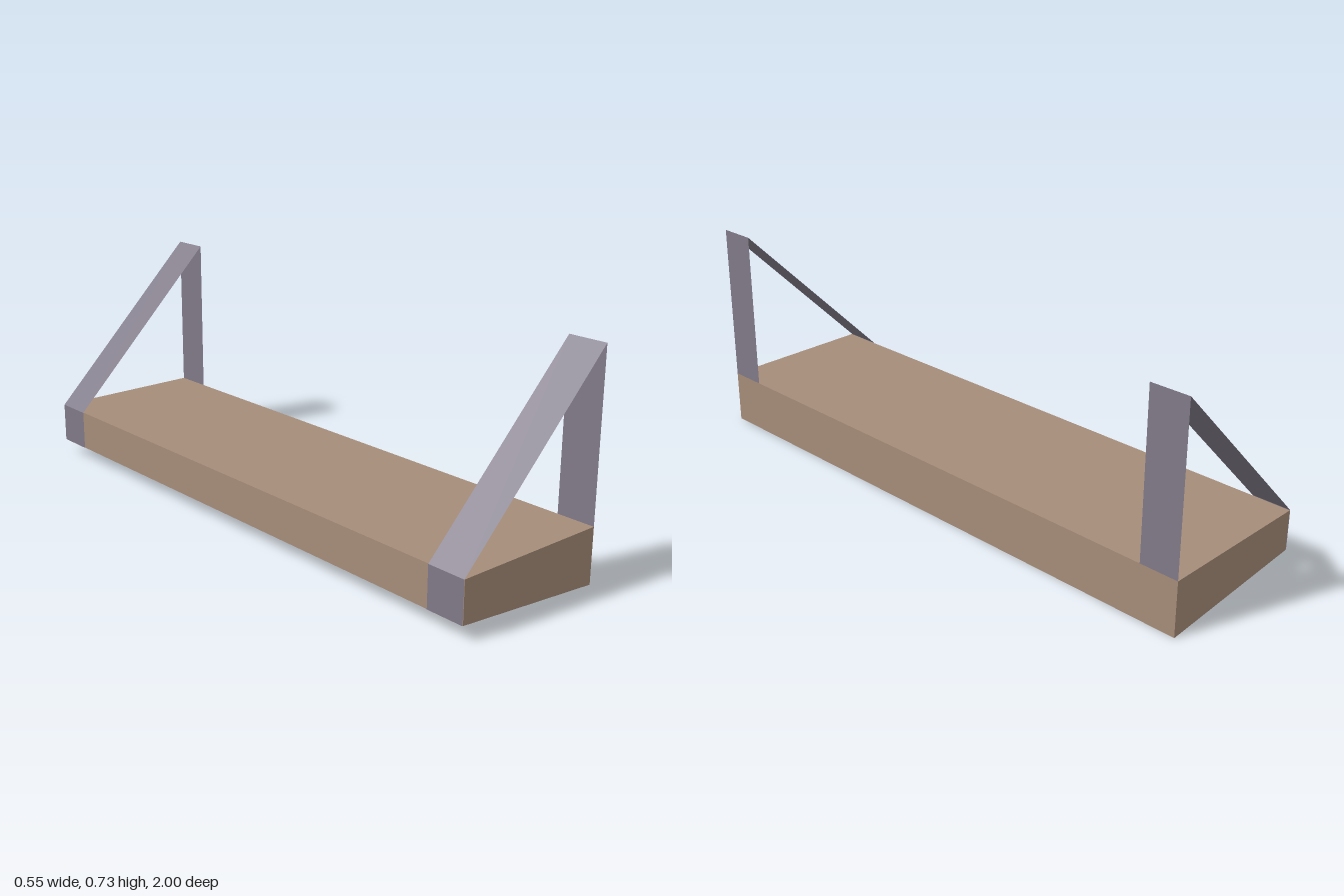
import * as THREE from 'three';

const HALF_LENGTH = 1, HALF_DEPTH = 0.272, BOARD_TOP = 0.182, STRAP_TOP = 0.728, STRAP_WIDTH = 0.131;

// Flat sheet folded along a path of [x, y] points, running from z0 to z1
function foldedSheet(path, z0, z1) {
  const positions = [];
  for (let i = 0; i < path.length - 1; i++) {
    const [ax, ay] = path[i], [bx, by] = path[i + 1];
    positions.push(
      ax, ay, z0, bx, by, z0, bx, by, z1,
      ax, ay, z0, bx, by, z1, ax, ay, z1);
  }
  const geometry = new THREE.BufferGeometry();
  geometry.setAttribute('position', new THREE.Float32BufferAttribute(positions, 3));
  geometry.computeVertexNormals();
  return geometry;
}

export function createModel() {
  const model = new THREE.Group();
  model.name = 'hangingShelf';

  const wood = new THREE.MeshStandardMaterial({ color: 0xa68c79 });
  wood.name = 'wood';
  const strapGrey = new THREE.MeshStandardMaterial({ color: 0x807a88, side: THREE.DoubleSide });
  strapGrey.name = 'strapGrey';

  // Board with a sloping underside
  const section = new THREE.Shape([
    new THREE.Vector2(-HALF_DEPTH, 0.047),
    new THREE.Vector2(HALF_DEPTH, 0),
    new THREE.Vector2(HALF_DEPTH, BOARD_TOP),
    new THREE.Vector2(-HALF_DEPTH, BOARD_TOP),
  ]);
  const boardGeometry = new THREE.ExtrudeGeometry(section, { depth: 2 * HALF_LENGTH, bevelEnabled: false });
  boardGeometry.translate(0, 0, -HALF_LENGTH);
  const board = new THREE.Mesh(boardGeometry, wood);
  board.name = 'board';
  model.add(board);

  // Straps: up from one long edge, sloping down to the other and over its face
  const outer = -HALF_DEPTH - 0.002;
  const path = [[HALF_DEPTH, BOARD_TOP], [HALF_DEPTH, STRAP_TOP], [outer, BOARD_TOP], [outer, 0.047]];
  for (const [name, z0] of [['frontStrap', HALF_LENGTH - STRAP_WIDTH], ['backStrap', -HALF_LENGTH]]) {
    const strap = new THREE.Mesh(foldedSheet(path, z0, z0 + STRAP_WIDTH), strapGrey);
    strap.name = name;
    model.add(strap);
  }
  return model;
}
